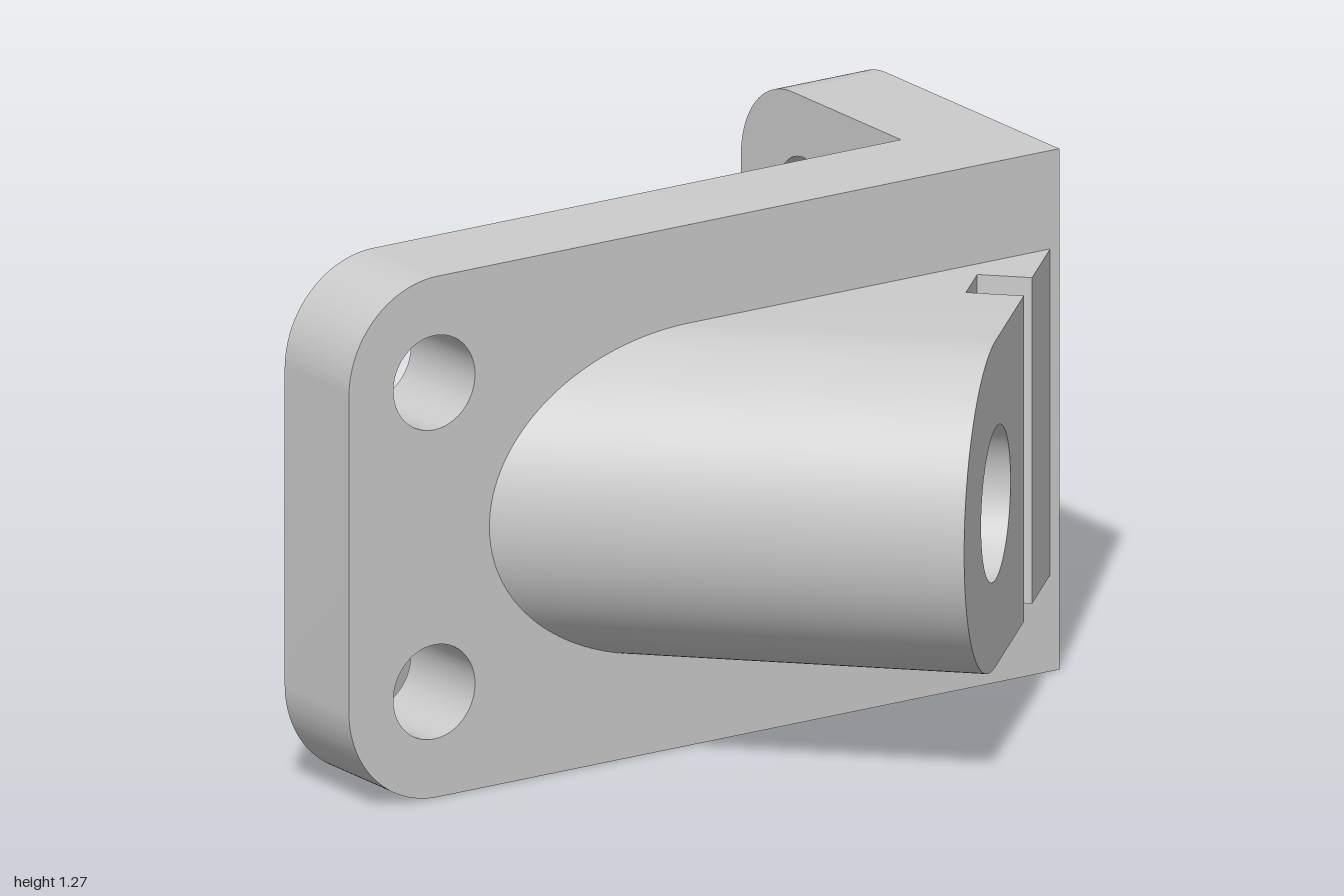
import * as THREE from 'three';
import { toCreasedNormals } from 'three/addons/utils/BufferGeometryUtils.js';

const BOTTOM = 0.01, TOP = 1.28;      // plate heights
const LOW = 0.245, HIGH = 1.04;       // boss heights
const MID = (LOW + HIGH) / 2, R = (HIGH - LOW) / 2;
const material = new THREE.MeshStandardMaterial({ color: 0xcccccc });

function addMesh(parent, name, geometry) {
  const mesh = new THREE.Mesh(toCreasedNormals(geometry, 0.6), material);
  mesh.name = name;
  parent.add(mesh);
  return mesh;
}

function circleHole(x, y, r) {
  const path = new THREE.Path();
  path.absarc(x, y, r, 0, Math.PI * 2, true);
  return path;
}

// Plate with a square near end, two rounded far corners and two bolt holes
function plateGeometry(length, radius, holeX, holeR) {
  const s = new THREE.Shape();
  s.moveTo(0, BOTTOM);
  s.lineTo(length - radius, BOTTOM);
  s.absarc(length - radius, BOTTOM + radius, radius, -Math.PI / 2, 0, false);
  s.absarc(length - radius, TOP - radius, radius, 0, Math.PI / 2, false);
  s.lineTo(0, TOP);
  s.closePath();
  for (const y of [0.268, 1.022]) s.holes.push(circleHole(holeX, y, holeR));
  return new THREE.ExtrudeGeometry(s, { depth: 0.265, bevelEnabled: false, curveSegments: 24 });
}

// Extrude to the given height, with the root cut at 45 degrees to sit inside the plate
function miteredGeometry(shape, height) {
  const g = new THREE.ExtrudeGeometry(shape, { depth: 1, bevelEnabled: false, curveSegments: 40 });
  const p = g.attributes.position;
  for (let i = 0; i < p.count; i++) {
    p.setZ(i, p.getZ(i) > 0.5 ? height : p.getX(i) - 0.02);
  }
  return g;
}

function rectangle(u0, u1) {
  return new THREE.Shape([[u0, LOW], [u1, LOW], [u1, HIGH], [u0, HIGH]].map(([x, y]) => new THREE.Vector2(x, y)));
}

export function createModel() {
  const model = new THREE.Group();
  model.name = 'angleBracket';

  // Two plates forming the L
  const front = addMesh(model, 'frontPlate', plateGeometry(2, 0.25, 1.76, 0.115));
  front.rotation.y = Math.PI;
  front.position.set(1, 0, 0.065);
  const side = addMesh(model, 'sidePlate', plateGeometry(0.66, 0.21, 0.4, 0.11));
  side.rotation.y = Math.PI / 2;
  side.position.set(0.735, 0, -0.2);

  // Diagonal boss: everything here points 45 degrees between +x and +z
  const diagonal = new THREE.Group();
  diagonal.name = 'diagonalBoss';
  diagonal.rotation.y = Math.PI / 4;
  model.add(diagonal);

  const axisU = -0.076;
  const outline = new THREE.Shape();
  outline.moveTo(axisU, LOW);
  outline.lineTo(0.276, LOW);
  outline.lineTo(0.276, HIGH);
  outline.lineTo(axisU, HIGH);
  outline.absarc(axisU, MID, R, Math.PI / 2, Math.PI * 1.5, false);
  outline.holes.push(circleHole(axisU, MID, 0.185));
  addMesh(diagonal, 'boss', miteredGeometry(outline, 0.742));

  // Floor of the blind bore
  const floor = addMesh(diagonal, 'boreFloor', new THREE.CircleGeometry(0.187, 40));
  floor.position.set(axisU, MID, 0.34);

  // Slot beside the boss and the lip that closes it
  addMesh(diagonal, 'slotFloor', miteredGeometry(rectangle(0.276, 0.417), 0.605));
  addMesh(diagonal, 'lip', miteredGeometry(rectangle(0.417, 0.665), 0.735));

  return model;
}
